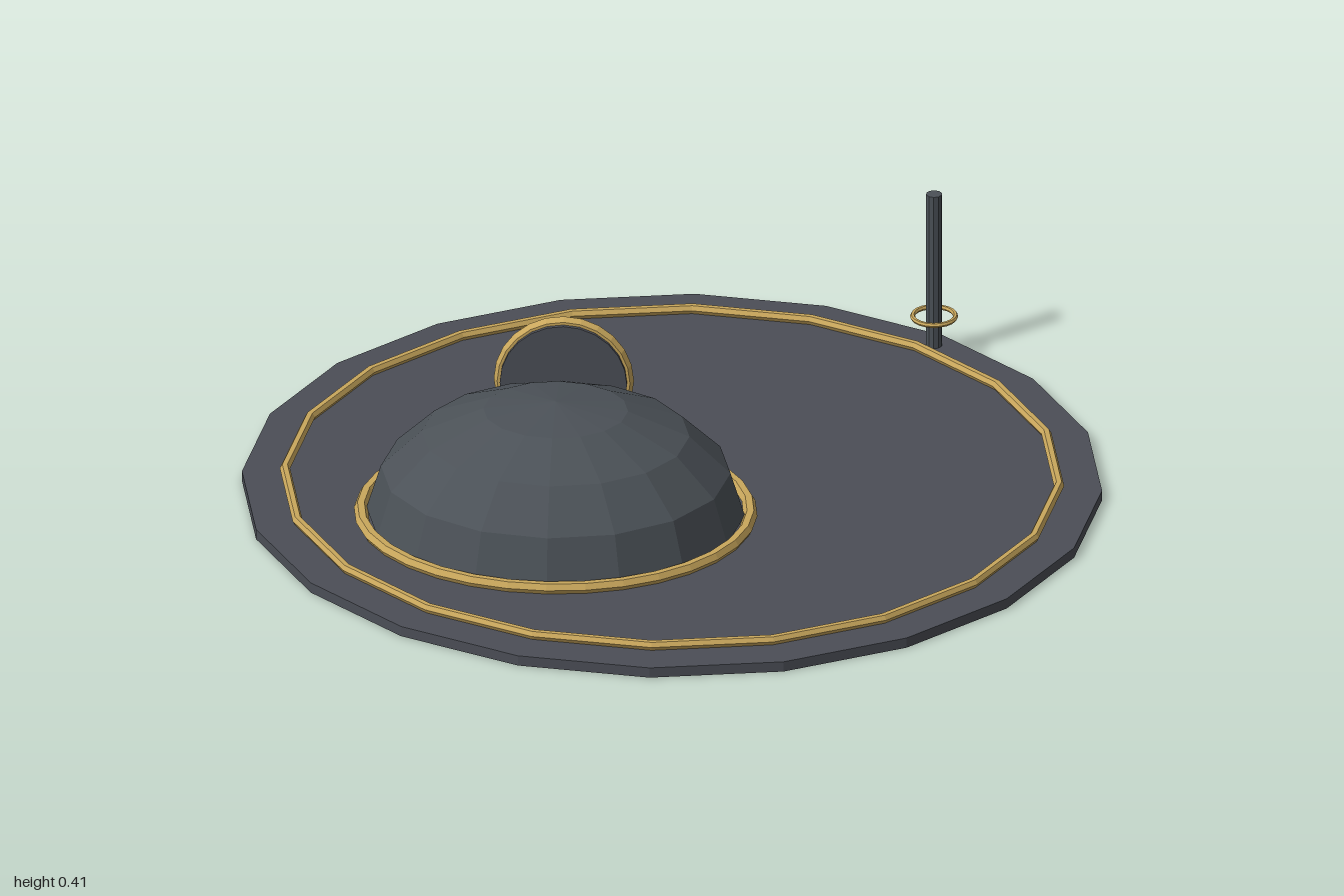
import * as THREE from 'three';

const material = (name, color) => {
  const m = new THREE.MeshStandardMaterial({ color, flatShading: true });
  m.name = name;
  return m;
};

export function createModel() {
  const model = new THREE.Group();
  const hull = material('slate hull', 0x4b4e56);
  const shell = material('blue grey shell', 0x4b5157);
  const gold = material('brass trim', 0xc9a75c);

  const add = (name, geometry, mat, x, y, z) => {
    const mesh = new THREE.Mesh(geometry, mat);
    mesh.name = name;
    mesh.position.set(x, y, z);
    model.add(mesh);
    return mesh;
  };
  // Ring lying flat around the vertical axis
  const flatRing = (radius, tube, sides, segments) =>
    new THREE.TorusGeometry(radius, tube, sides, segments).rotateX(Math.PI / 2);

  // Twenty-sided base plate and its trim
  add('basePlate', new THREE.CylinderGeometry(1, 1, 0.025, 20), hull, 0, 0.0125, 0);
  add('baseTrim', flatRing(0.9, 0.012, 6, 20), gold, 0, 0.035, 0);

  // Faceted oval dome with a trim at its foot
  const dome = new THREE.SphereGeometry(1, 16, 4, 0, Math.PI * 2, 0, Math.PI / 2);
  dome.scale(0.44, 0.284, 0.4);
  add('dome', dome, shell, -0.26, 0.036, 0.2);
  add('domeTrim', flatRing(0.453, 0.016, 6, 32).scale(1, 1, 0.905), gold, -0.26, 0.036, 0.2);

  // Upright round hatch set into the back of the dome
  const hatch = new THREE.CylinderGeometry(0.148, 0.148, 0.036, 24).rotateX(Math.PI / 2);
  add('hatch', hatch, hull, -0.26, 0.2, -0.159);
  add('hatchTrim', new THREE.TorusGeometry(0.146, 0.017, 6, 24), gold, -0.26, 0.2, -0.165);

  // Thin mast with a loose ring
  add('mast', new THREE.CylinderGeometry(0.019, 0.019, 0.395, 10), shell, 0.57, 0.2175, -0.755);
  add('mastRing', flatRing(0.05, 0.006, 6, 20), gold, 0.57, 0.1, -0.755);

  return model;
}
